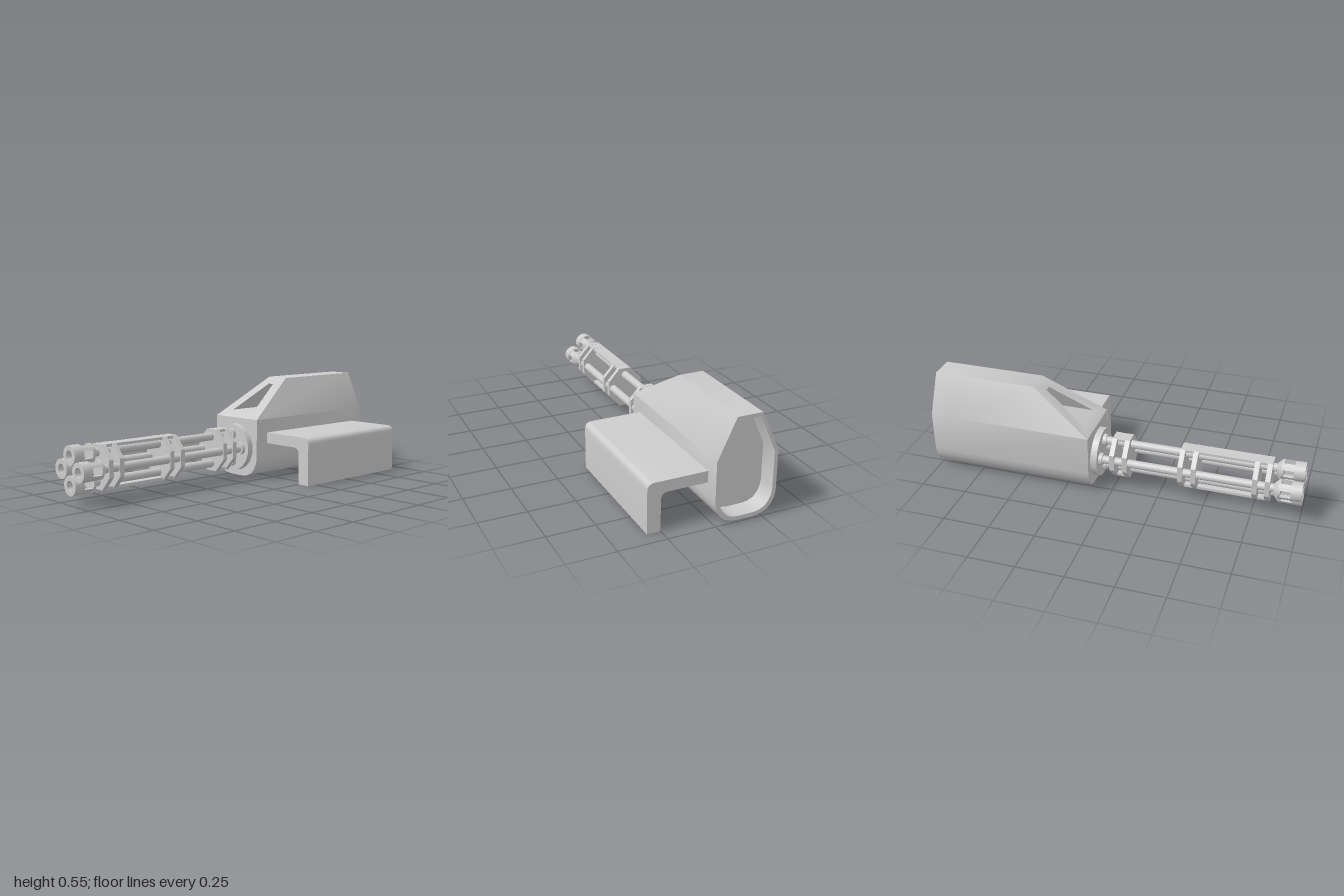
import * as THREE from 'three';
import { mergeGeometries, toCreasedNormals } from 'three/addons/utils/BufferGeometryUtils.js';

const CX = -0.157;      // axis of the gun body
const BARREL_Y = 0.173; // height of the barrel cluster

const material = new THREE.MeshStandardMaterial({ color: 0xcccccc });
const v2 = ([x, y]) => new THREE.Vector2(x, y);

function makeMesh(name, geometry, x = 0, y = 0, z = 0) {
  const mesh = new THREE.Mesh(geometry, material);
  mesh.name = name;
  mesh.position.set(x, y, z);
  return mesh;
}

// Extrude an outline (with optional hole) from z0 to z1
function prism(points, z0, z1, hole) {
  const shape = new THREE.Shape(points.map(v2));
  if (hole) shape.holes.push(new THREE.Path(hole.map(v2)));
  return new THREE.ExtrudeGeometry(shape, { depth: z1 - z0, bevelEnabled: false }).translate(0, 0, z0);
}

// Cylinder along z from z0 to z1
function rod(r0, r1, z0, z1, sides = 20) {
  return new THREE.CylinderGeometry(r1, r0, z1 - z0, sides).rotateX(Math.PI / 2).translate(0, 0, (z0 + z1) / 2);
}

const mirrored = (half) => [...half, ...half.slice().reverse().map(([x, y]) => [-x, y])];

function createHousing() {
  const shoulder = 0.337, front = -0.11, recess = -0.9;
  const lowerHalf = [[0.045, 0.01], [0.083, 0.015], [0.118, 0.03], [0.14, 0.055], [0.158, 0.09], [0.164, 0.125], [0.164, shoulder]];
  const upperHalf = [[0.164, shoulder], [0.067, 0.545]];
  const notch = mirrored([[0.082, 0.37], [0.017, 0.51]]);

  // Lower block, and upper block with its front face leaned back
  const lower = prism(mirrored(lowerHalf), recess, front);
  const upper = prism(mirrored(upperHalf), recess, front, notch);
  const p = upper.attributes.position;
  for (let i = 0; i < p.count; i++) {
    if (p.getZ(i) > -0.5) p.setZ(i, front - (p.getY(i) - shoulder) * 1.587);
  }

  // Rim around the recessed rear opening
  const outline = mirrored([...lowerHalf, upperHalf[1]]);
  const inner = outline.map(([x, y]) => [x * 0.88, 0.278 + (y - 0.278) * 0.925]);
  const rim = prism(outline, -1, recess, inner);

  const group = new THREE.Group();
  group.name = 'housing';
  group.position.x = CX;
  group.add(
    makeMesh('housingShell', toCreasedNormals(mergeGeometries([lower, upper, rim]), 0.6)),
    makeMesh('notchBack', prism(notch, recess, -0.44)),
  );
  return group;
}

function createBracket() {
  const s = new THREE.Shape();
  s.moveTo(-0.01, 0.2);
  s.lineTo(0.215, 0.2);
  s.quadraticCurveTo(0.25, 0.2, 0.25, 0.163);
  s.lineTo(0.25, 0);
  s.lineTo(0.32, 0);
  s.lineTo(0.32, 0.225);
  s.quadraticCurveTo(0.32, 0.26, 0.282, 0.26);
  s.lineTo(-0.01, 0.26);
  const geometry = new THREE.ExtrudeGeometry(s, { depth: 0.735, bevelEnabled: false, curveSegments: 5 });
  return makeMesh('sideBracket', toCreasedNormals(geometry, 0.6), 0, 0, -0.925);
}

function createMuzzle() {
  const group = new THREE.Group();
  group.name = 'muzzle';
  // Flared base
  group.add(makeMesh('muzzleBase', toCreasedNormals(mergeGeometries([
    rod(0.024, 0.051, 0.855, 0.88), rod(0.051, 0.051, 0.88, 0.892)]), 0.5)));
  // Four posts between the open slots
  for (let i = 0; i < 4; i++) {
    const post = prism([[0.02, 0.02], [0.046, 0.02], [0.035, 0.035], [0.02, 0.046]], 0.89, 0.95);
    group.add(makeMesh('muzzlePost', post.rotateZ(i * Math.PI / 2)));
  }
  // Front ring
  const ring = new THREE.Shape().absarc(0, 0, 0.051, 0, Math.PI * 2);
  ring.holes.push(new THREE.Path().absarc(0, 0, 0.026, 0, Math.PI * 2, true));
  const ringGeometry = new THREE.ExtrudeGeometry(ring, { depth: 0.055, bevelEnabled: false, curveSegments: 12 });
  group.add(makeMesh('muzzleRing', toCreasedNormals(ringGeometry, 0.6), 0, 0, 0.945));
  return group;
}

function createBarrels() {
  const group = new THREE.Group();
  group.name = 'barrelCluster';
  group.position.set(CX, BARREL_Y, 0);
  group.add(makeMesh('mountDisk', rod(0.132, 0.132, -0.115, -0.075, 18)));

  // Four barrels, each with a rear collar and a slotted muzzle
  for (let i = 0; i < 4; i++) {
    const a = i * Math.PI / 2;
    const barrel = new THREE.Group();
    barrel.name = 'barrel';
    barrel.position.set(0.075 * Math.cos(a), 0.075 * Math.sin(a), 0);
    barrel.add(
      makeMesh('barrelTube', rod(0.022, 0.022, -0.09, 0.87)),
      makeMesh('barrelCollar', rod(0.033, 0.033, -0.08, -0.055)),
      createMuzzle(),
    );
    group.add(barrel);
  }

  // Octagonal clamp plates in pairs
  const octagon = mirrored([[0.036, -0.115], [0.1, -0.045], [0.1, 0.045], [0.036, 0.115]]);
  for (const z of [-0.015, 0.055, 0.355, 0.425, 0.745, 0.81]) {
    group.add(makeMesh('clampPlate', prism(octagon, z, z + 0.026)));
  }

  // Cover strips above and below the barrels
  for (const side of [-1, 1]) {
    for (const [z0, z1] of [[-0.015, 0.08], [0.355, 0.836]]) {
      const strip = new THREE.BoxGeometry(0.072, 0.014, z1 - z0);
      group.add(makeMesh('coverStrip', strip, 0, side * 0.107, (z0 + z1) / 2));
    }
  }
  return group;
}

export function createModel() {
  const model = new THREE.Group();
  model.name = 'rotaryGun';
  model.add(createHousing(), createBracket(), createBarrels());
  return model;
}
